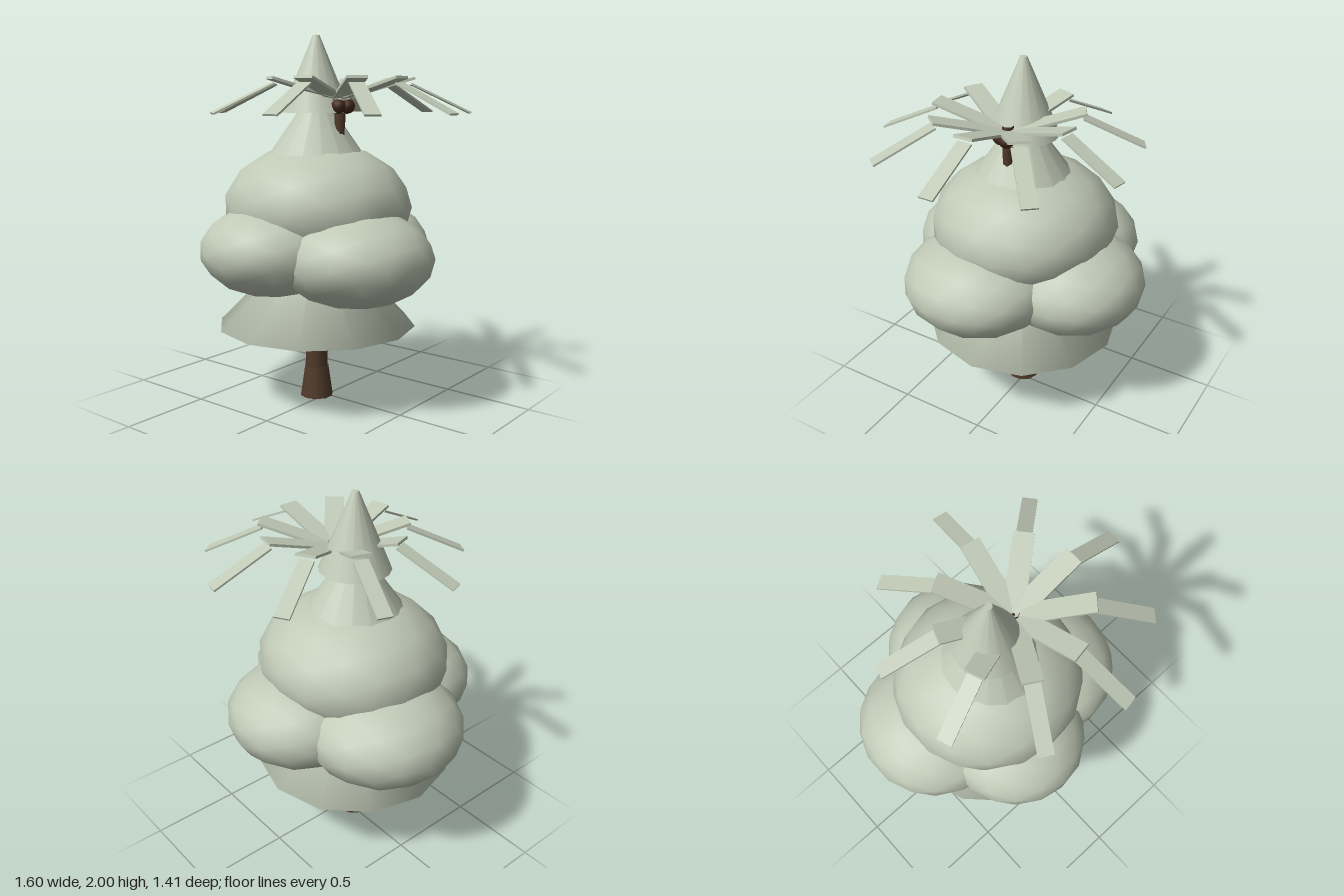
import * as THREE from 'three';
import { mergeVertices } from 'three/addons/utils/BufferGeometryUtils.js';

const foliage = new THREE.MeshStandardMaterial({ color: 0xc0c9b6 });
foliage.name = 'paleGreenFoliage';
const bark = new THREE.MeshStandardMaterial({ color: 0x503a2a });
bark.name = 'brownBark';
const nut = new THREE.MeshStandardMaterial({ color: 0x43291a });
nut.name = 'darkBrownNut';

const CX = -0.05, CZ = 0.026; // axis of the main tree

function add(parent, name, geometry, material, x = 0, y = 0, z = 0) {
  const mesh = new THREE.Mesh(geometry, material);
  mesh.name = name;
  mesh.position.set(x, y, z);
  parent.add(mesh);
  return mesh;
}

// Upright tapered cylinder between two heights on the tree axis
function taper(parent, name, y0, r0, y1, r1, sides, material) {
  const g = new THREE.CylinderGeometry(r1, r0, y1 - y0, sides);
  return add(parent, name, g, material, CX, (y0 + y1) / 2, CZ);
}

// Thin plate along +x in the xy plane, from (x0, y0) to (x1, y1)
function plate(parent, name, x0, y0, x1, y1, width, thickness) {
  const g = new THREE.BoxGeometry(Math.hypot(x1 - x0, y1 - y0), thickness, width);
  const mesh = add(parent, name, g, foliage, (x0 + x1) / 2, (y0 + y1) / 2, 0);
  mesh.rotation.z = Math.atan2(y1 - y0, x1 - x0);
}

export function createModel() {
  const model = new THREE.Group();
  model.name = 'tree';

  // Trunk with flared foot
  taper(model, 'trunkFoot', 0, 0.093, 0.17, 0.068, 10, bark);
  taper(model, 'trunk', 0.16, 0.065, 1.1, 0.045, 10, bark);

  // Bottom skirt, shaded softly over its rim
  const skirt = taper(model, 'skirtCone', 0.42, 0.55, 0.95, 0.02, 12, foliage);
  skirt.geometry.deleteAttribute('normal');
  skirt.geometry.deleteAttribute('uv');
  skirt.geometry = mergeVertices(skirt.geometry);
  skirt.geometry.computeVertexNormals();

  // Middle and top cones
  taper(model, 'middleCone', 1.15, 0.41, 1.68, 0.04, 16, foliage);
  taper(model, 'topCone', 1.59, 0.19, 2.0, 0.018, 16, foliage);

  // Rounded leaf masses: centre and radii
  const masses = [
    ['crownMass', -0.05, 1.08, 0.015, 0.52, 0.35, 0.51],
    ['rightMass', -0.38, 0.83, -0.06, 0.43, 0.27, 0.43],
    ['leftMass', 0.27, 0.84, 0.1, 0.42, 0.26, 0.42],
    ['frontMass', -0.12, 0.87, 0.3, 0.39, 0.25, 0.4],
    ['backMass', 0.0, 0.83, -0.31, 0.4, 0.26, 0.4],
  ];
  for (const [name, x, y, z, rx, ry, rz] of masses) {
    add(model, name, new THREE.IcosahedronGeometry(1, 2), foliage, x, y, z).scale.set(rx, ry, rz);
  }

  // Slender leaning stem inside the tree, ending at the fronds
  const stem = new THREE.CatmullRomCurve3([
    new THREE.Vector3(-0.02, 0.26, 0.045),
    new THREE.Vector3(0.01, 0.6, 0.035),
    new THREE.Vector3(0.07, 1.15, 0.026),
    new THREE.Vector3(0.11, 1.54, 0.022),
    new THREE.Vector3(0.11, 1.69, 0.022),
  ]);
  add(model, 'leaningStem', new THREE.TubeGeometry(stem, 10, 0.03, 7), bark);

  // Ring of nine two-part drooping fronds
  const fronds = new THREE.Group();
  fronds.name = 'fronds';
  fronds.position.set(0.11, 0, 0.022);
  model.add(fronds);
  for (let i = 0; i < 9; i++) {
    const frond = new THREE.Group();
    frond.name = 'frond';
    frond.rotation.y = (i * Math.PI * 2) / 9;
    plate(frond, 'innerLeaf', 0.01, 1.66, 0.39, 1.77, 0.105, 0.014);
    plate(frond, 'outerLeaf', 0.375, 1.74, 0.69, 1.59, 0.08, 0.01);
    fronds.add(frond);
  }

  // Cluster of nuts under the fronds
  for (let i = 0; i < 3; i++) {
    const a = (i * Math.PI * 2) / 3 + Math.PI / 2;
    add(model, 'nut', new THREE.IcosahedronGeometry(0.042, 1), nut,
      0.125 + 0.025 * Math.cos(a), 1.625, 0.024 + 0.032 * Math.sin(a));
  }
  return model;
}
